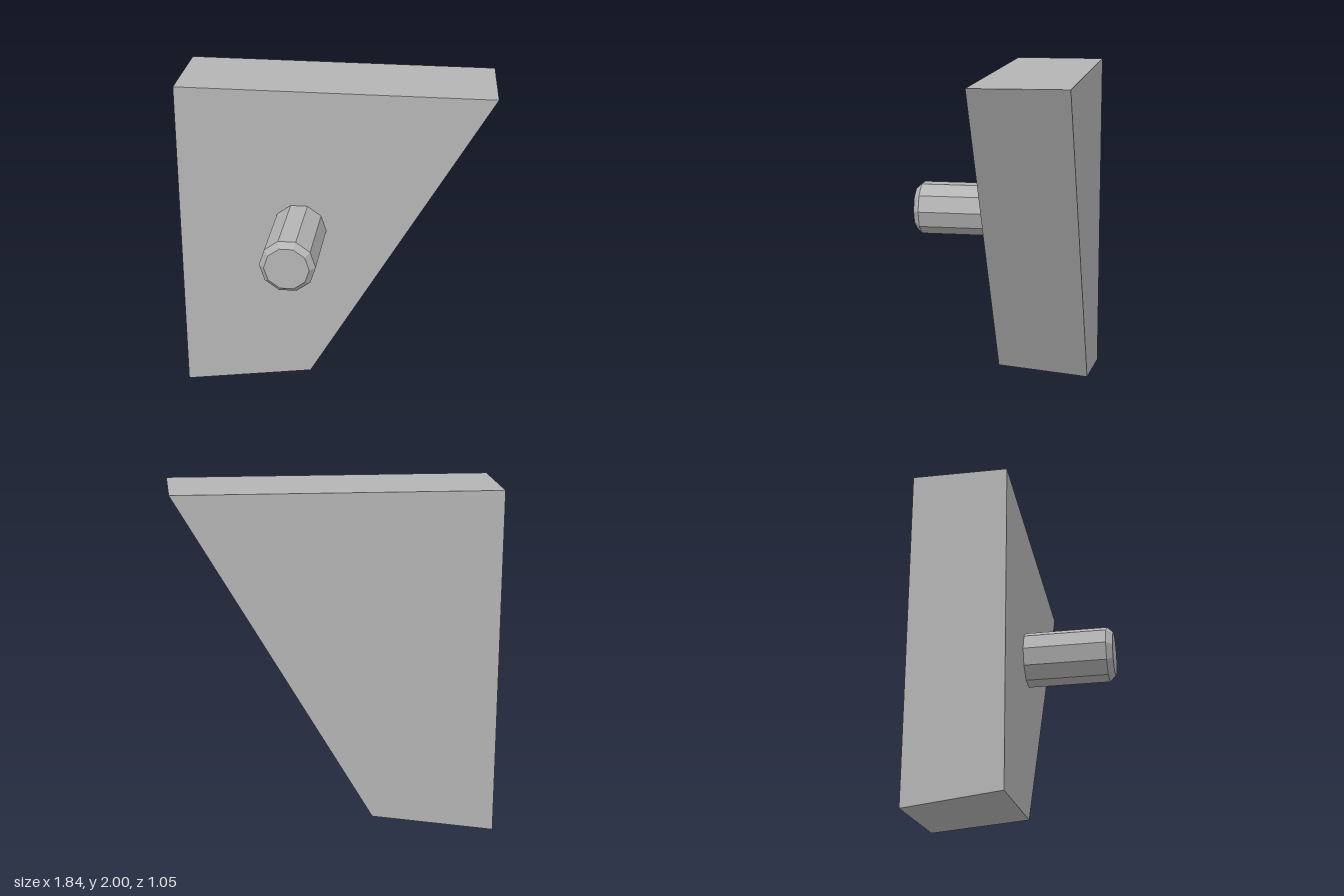
import * as THREE from 'three';

export function createModel() {
  const group = new THREE.Group();
  const grey = new THREE.MeshStandardMaterial({ color: 0xb4b4b4, flatShading: true });
  grey.name = 'grey';

  // Slanted plate: a box whose eight corners move to a tapered outline
  const left = -0.92, top = 2;
  const front = { z: 0.015, lowLeft: 0.065, lowRight: [-0.148, 0.18], topRight: 0.916 };
  const back = { z: -0.525, lowLeft: 0, lowRight: [-0.215, 0.11], topRight: 0.886 };
  const plateGeometry = new THREE.BoxGeometry(1, 1, 1);
  const p = plateGeometry.attributes.position;
  for (let i = 0; i < p.count; i++) {
    const end = p.getZ(i) > 0 ? front : back;
    const right = p.getX(i) > 0, upper = p.getY(i) > 0;
    const x = !right ? left : upper ? end.topRight : end.lowRight[0];
    const y = upper ? top : right ? end.lowRight[1] : end.lowLeft;
    p.setXYZ(i, x, y, end.z);
  }
  plateGeometry.computeVertexNormals();
  const plate = new THREE.Mesh(plateGeometry, grey);
  plate.name = 'plate';
  group.add(plate);

  // Ten-sided peg with a bevelled end, pointing forward
  const profile = [[0, 0], [0.16, 0], [0.16, 0.49], [0.128, 0.525], [0, 0.525]]
    .map(([r, h]) => new THREE.Vector2(r, h));
  const pegGeometry = new THREE.LatheGeometry(profile, 10, Math.PI / 2);
  pegGeometry.rotateX(Math.PI / 2);
  const peg = new THREE.Mesh(pegGeometry, grey);
  peg.name = 'peg';
  peg.position.set(-0.207, 1.145, 0);
  group.add(peg);

  return group;
}
